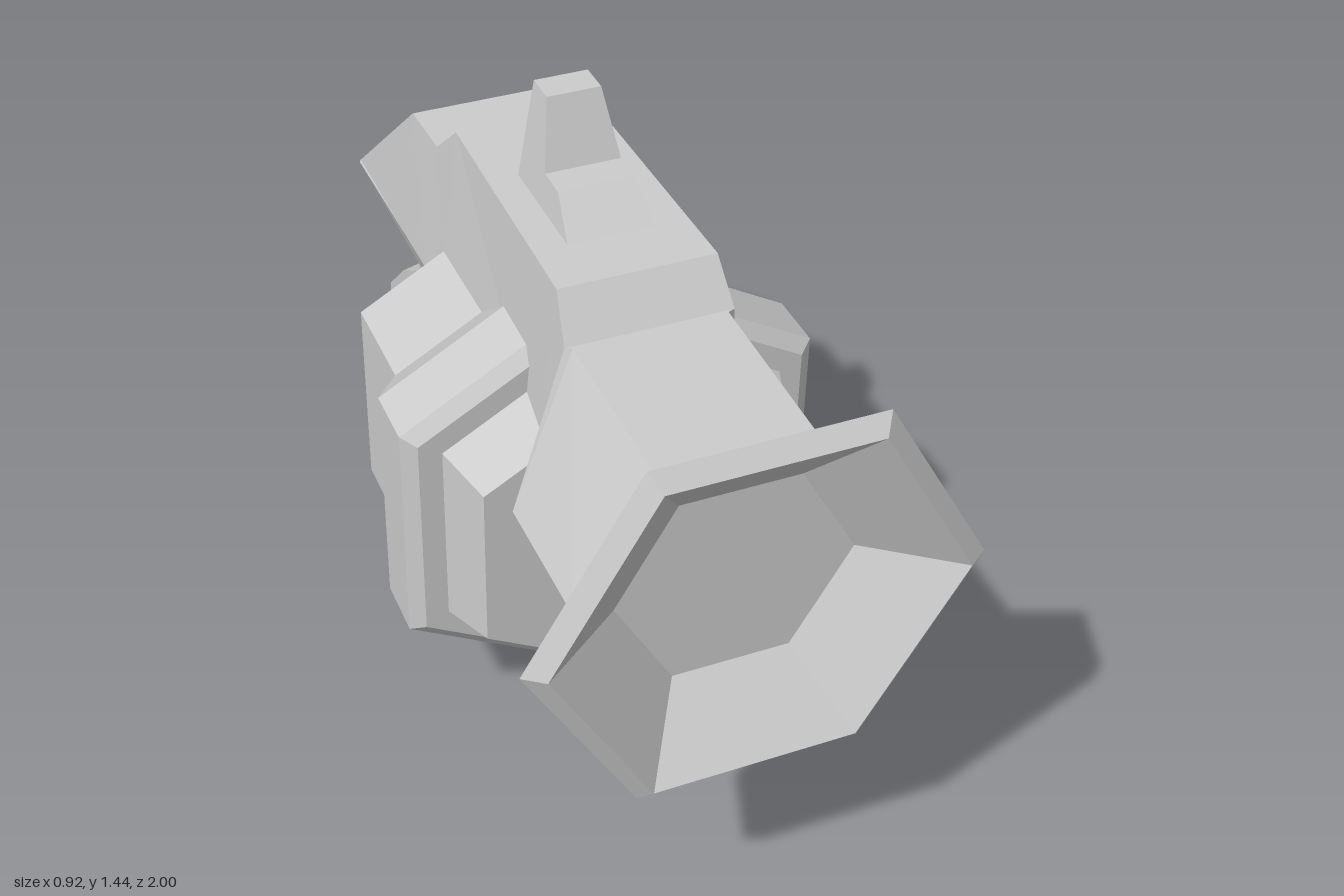
import * as THREE from 'three';

const material = new THREE.MeshStandardMaterial({ color: 0xcccccc, flatShading: true });

// Skin closed rings of points (counter-clockwise seen from +z), capped at both ends
function loft(rings) {
  const pos = [];
  const tri = (...pts) => pts.forEach((p) => pos.push(...p));
  const n = rings[0].length;
  for (let i = 0; i < rings.length - 1; i++) {
    for (let j = 0; j < n; j++) {
      const k = (j + 1) % n;
      const a = rings[i][j], b = rings[i][k], c = rings[i + 1][k], d = rings[i + 1][j];
      tri(a, d, b);
      tri(b, d, c);
    }
  }
  const first = rings[0], last = rings[rings.length - 1];
  for (let j = 1; j < n - 1; j++) {
    tri(first[0], first[j], first[j + 1]);
    tri(last[0], last[j + 1], last[j]);
  }
  const geo = new THREE.BufferGeometry();
  geo.setAttribute('position', new THREE.Float32BufferAttribute(pos, 3));
  geo.computeVertexNormals();
  return geo;
}

// Mirrored six-point section from its top, middle and bottom corner, each [halfWidth, y, z]
function section(top, mid, bot) {
  const flip = ([x, y, z]) => [-x, y, z];
  return [mid, top, flip(top), flip(mid), flip(bot), bot];
}

// Regular hexagon with a flat top, for the barrel
function flatHex(r, z) {
  const cy = 0.86, h = r * 0.866;
  return section([r / 2, cy + h, z], [r, cy, z], [r / 2, cy - h, z]);
}

// Regular hexagon with a point at top and bottom, for the drum
function pointedHex(halfWidth, z) {
  const r = halfWidth / 0.866, cy = 0.605;
  return Array.from({ length: 6 }, (_, i) => {
    const a = Math.PI / 6 + (i * Math.PI) / 3;
    return [r * Math.cos(a), cy + r * Math.sin(a), z];
  });
}

// Side profile of [z, y] points given a width across x; ridge insets the side faces
function slab(points, halfWidth, ridge = 0) {
  const shape = new THREE.Shape(points.map(([z, y]) => new THREE.Vector2(z, y)));
  const thickness = ridge ? halfWidth - 0.001 : 0;
  const depth = 2 * (halfWidth - thickness);
  const geo = new THREE.ExtrudeGeometry(shape, {
    depth,
    bevelEnabled: ridge > 0,
    bevelThickness: thickness,
    bevelSize: ridge,
    bevelOffset: -ridge,
    bevelSegments: 1,
  });
  geo.translate(0, 0, -depth / 2);
  geo.rotateY(-Math.PI / 2);
  return geo;
}

export function createModel() {
  const model = new THREE.Group();
  const add = (name, geo) => {
    const mesh = new THREE.Mesh(geo, material);
    mesh.name = name;
    model.add(mesh);
  };

  // Flared muzzle, barrel and receiver as one skin from front to back
  add('barrelAndBody', loft([
    flatHex(0.242, 0.87),
    flatHex(0.418, 1.0),
    flatHex(0.46, 0.97),
    flatHex(0.315, 0.85),
    section([0.16, 1.14, 0.46], [0.315, 0.855, 0.545], [0.16, 0.59, 0.56]),
    section([0.175, 1.14, 0.455], [0.2, 0.82, 0.42], [0.11, 0.605, 0.42]),
    section([0.165, 1.23, 0.39], [0.2, 0.82, 0.39], [0.11, 0.605, 0.39]),
    section([0.155, 1.23, -0.21], [0.2, 0.83, -0.21], [0.11, 0.605, -0.21]),
    section([0.165, 1.14, -0.31], [0.2, 0.832, -0.31], [0.11, 0.603, -0.31]),
    section([0.17, 1.14, -0.46], [0.202, 0.835, -0.46], [0.11, 0.6, -0.46]),
    section([0.205, 0.845, -0.78], [0.208, 0.84, -0.78], [0.11, 0.6, -0.7]),
    section([0.205, 0.845, -0.78], [0.208, 0.84, -0.78], [0.12, 0.7, -0.78]),
  ]));

  // Hexagonal drum: stepped front, raised band, shallow recess in the back
  const drum = [
    [0.33, 0.42], [0.37, 0.29], [0.42, 0.29], [0.45, 0.265], [0.45, 0.13],
    [0.38, 0.02], [0.38, -0.22], [0.345, -0.22], [0.335, -0.19],
  ];
  add('drum', loft(drum.map(([w, z]) => pointedHex(w, z))));

  // Block under the barrel
  add('underBarrelBlock', slab(
    [[0.3, 0.62], [0.3, 0.38], [0.42, 0.38], [0.56, 0.48], [0.56, 0.62]], 0.087));

  // Sight, narrowing towards its top
  const sight = slab([[0.26, 1.22], [0.26, 1.23], [0.18, 1.3], [0.11, 1.3],
    [0.06, 1.44], [-0.01, 1.44], [-0.01, 1.22]], 1);
  const p = sight.attributes.position;
  for (let i = 0; i < p.count; i++) {
    const t = (p.getY(i) - 1.23) / 0.21;
    p.setX(i, p.getX(i) * (0.092 - 0.035 * t));
  }
  sight.computeVertexNormals();
  add('sight', sight);

  // Plate behind the drum and the bar that guards the trigger space
  add('guardPlate', slab(
    [[-0.15, 0.62], [-0.15, 0.23], [-0.285, 0.23], [-0.31, 0.35], [-0.47, 0.35],
      [-0.6, 0.33], [-0.6, 0.405], [-0.287, 0.405], [-0.287, 0.62]], 0.09));

  // Curved grip with a ridge along its middle
  add('grip', slab(
    [[-0.55, 0.64], [-0.56, 0.52], [-0.5, 0.405], [-0.41, 0.35], [-0.52, 0.28],
      [-0.61, 0.265], [-0.65, 0.22], [-0.65, 0.06], [-0.81, 0.0], [-1.0, 0.21],
      [-0.975, 0.36], [-0.85, 0.48], [-0.725, 0.56], [-0.725, 0.64]], 0.098, 0.02));

  return model;
}
